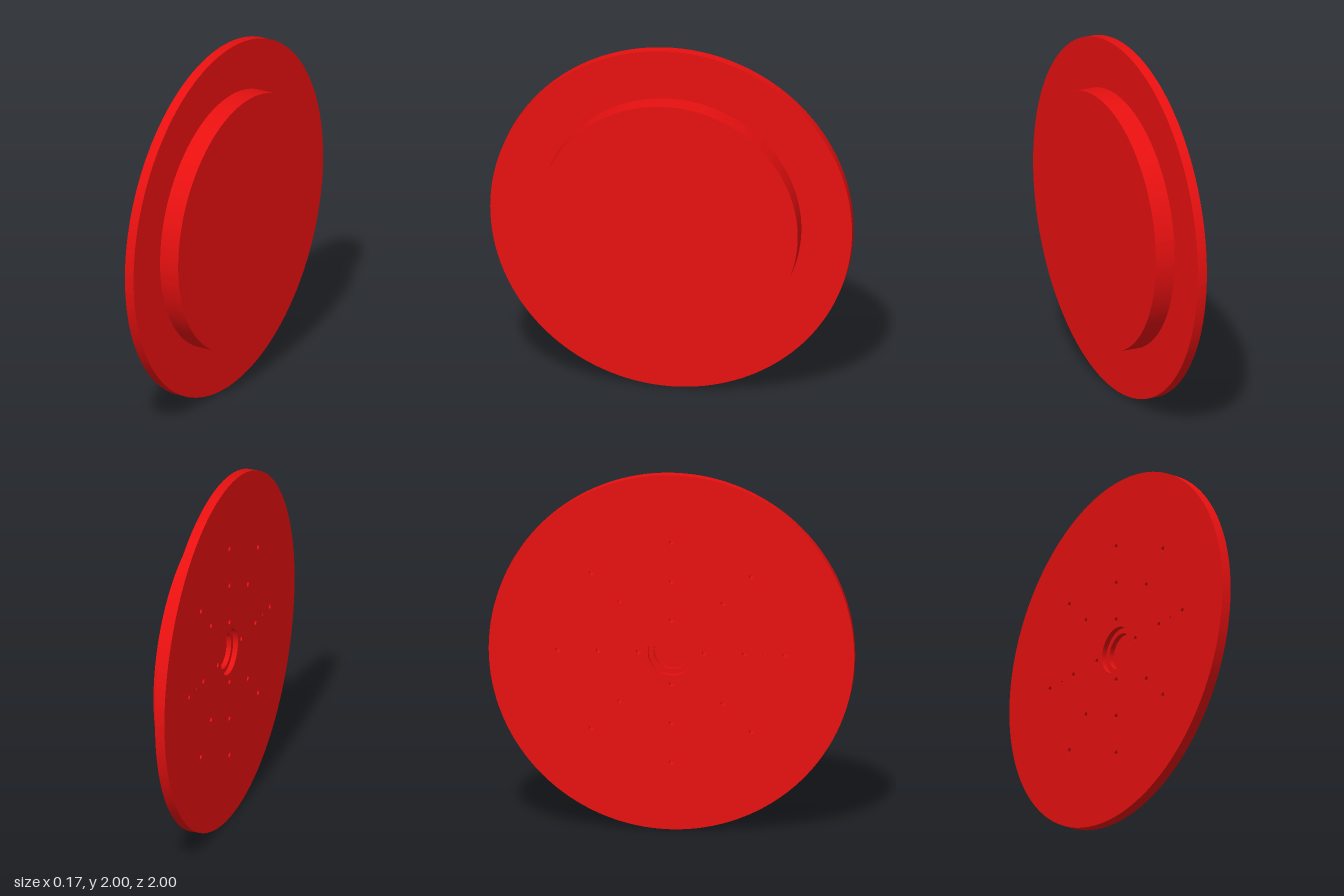
import * as THREE from 'three';
import { toCreasedNormals } from 'three/addons/utils/BufferGeometryUtils.js';

const BACK = -0.085, STEP = -0.03, FRONT = 0.085, LEDGE = -0.057;

// Evenly divided circle as a list of points
function circle(r, segments, cx = 0, cy = 0) {
  return Array.from({ length: segments }, (_, i) => {
    const a = (i / segments) * Math.PI * 2;
    return new THREE.Vector2(cx + r * Math.cos(a), cy + r * Math.sin(a));
  });
}

// Round plate with holes, its axis along x, spanning x0 to x1
function plate(radius, holes, x0, x1) {
  const shape = new THREE.Shape(circle(radius, 128));
  holes.forEach((points) => shape.holes.push(new THREE.Path(points)));
  const geometry = new THREE.ExtrudeGeometry(shape, { depth: x1 - x0, bevelEnabled: false });
  geometry.translate(0, 0, x0);
  geometry.rotateY(Math.PI / 2);
  return toCreasedNormals(geometry, 0.5);
}

export function createModel() {
  const group = new THREE.Group();
  const material = new THREE.MeshStandardMaterial({ color: 0xe81010 });
  const add = (name, geometry) => {
    const mesh = new THREE.Mesh(geometry, material);
    mesh.name = name;
    mesh.position.y = 1;
    group.add(mesh);
  };

  // Centre bore, screw holes on crossing lines, two tiny pin holes
  const holes = [circle(0.13, 64)];
  for (let i = 0; i < 8; i++) {
    const a = (i * Math.PI) / 4;
    const radii = i % 2 ? [0.4, 0.62] : [0.18, 0.4, 0.62];
    for (const r of radii) holes.push(circle(0.014, 20, r * Math.cos(a), r * Math.sin(a)));
  }
  for (const side of [-1, 1]) holes.push(circle(0.007, 16, side * 0.51, 0));

  add('flange', plate(1, holes, BACK, STEP));

  // Narrower step inside the centre bore
  add('boreLedge', plate(0.13, [circle(0.1, 64)], LEDGE, STEP));

  // Raised solid disc, which also closes the holes
  const boss = new THREE.CylinderGeometry(0.72, 0.72, FRONT - STEP, 128);
  boss.rotateZ(-Math.PI / 2);
  boss.translate((FRONT + STEP) / 2, 0, 0);
  add('raisedDisc', boss);

  return group;
}
